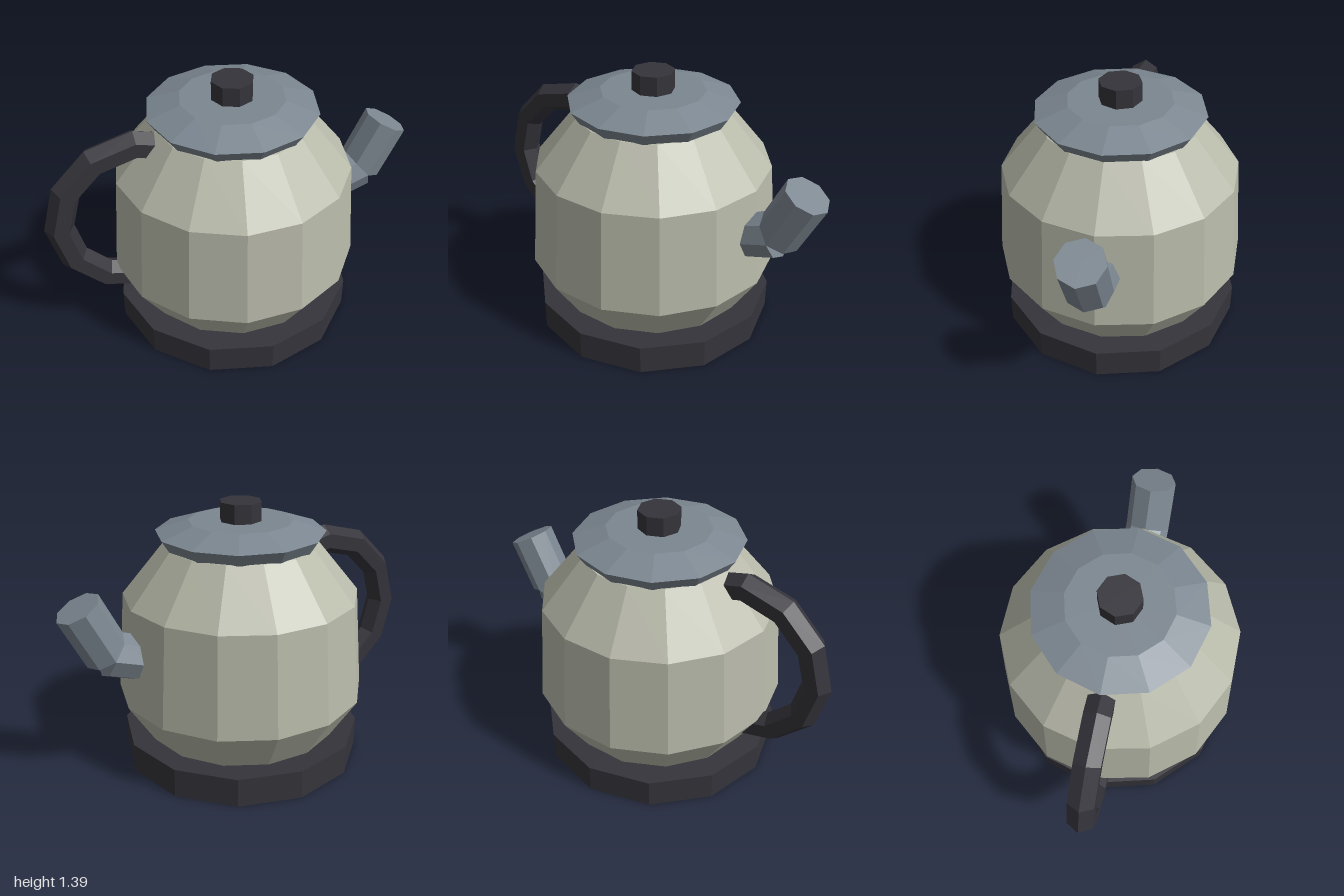
import * as THREE from 'three';

const enamel = new THREE.MeshStandardMaterial({ color: 0xb8baaa });
enamel.name = 'cream enamel';
const metal = new THREE.MeshStandardMaterial({ color: 0x7c8791 });
metal.name = 'blue grey metal';
const plastic = new THREE.MeshStandardMaterial({ color: 0x35343b });
plastic.name = 'dark plastic';

const AXIS_X = 0.006; // the handle and spout reach differ slightly

// Faceted mesh: unshared vertices give each face its own normal
function facetedMesh(name, geometry, material) {
  const flat = geometry.toNonIndexed();
  flat.computeVertexNormals();
  const mesh = new THREE.Mesh(flat, material);
  mesh.name = name;
  return mesh;
}

// Closed turned part from [radius, height] pairs, bottom to top
function turned(name, profile, sides, material) {
  const points = profile.map(([r, y]) => new THREE.Vector2(r, y));
  points.unshift(new THREE.Vector2(0, profile[0][1]));
  points.push(new THREE.Vector2(0, profile[profile.length - 1][1]));
  const mesh = facetedMesh(name, new THREE.LatheGeometry(points, sides, Math.PI / 2), material);
  mesh.position.x = AXIS_X;
  return mesh;
}

// Eight-sided pipe between two points in the x-y plane
function pipe(name, [x0, y0], [x1, y1], radius, material) {
  const length = Math.hypot(x1 - x0, y1 - y0);
  const mesh = facetedMesh(name, new THREE.CylinderGeometry(radius, radius, length, 8), material);
  mesh.position.set((x0 + x1) / 2, (y0 + y1) / 2, 0);
  mesh.rotation.z = Math.atan2(y1 - y0, x1 - x0) - Math.PI / 2;
  return mesh;
}

export function createModel() {
  const kettle = new THREE.Group();
  kettle.name = 'kettle';

  // Stand, body, lid and knob
  kettle.add(
    turned('base', [[0.642, 0], [0.642, 0.155]], 12, plastic),
    turned('body', [[0.515, 0.15], [0.66, 0.378], [0.619, 0.91], [0.4, 1.18]], 14, enamel),
    turned('lid', [[0.398, 1.175], [0.44, 1.24], [0.27, 1.295]], 12, metal),
    turned('knob', [[0.11, 1.29], [0.11, 1.395]], 8, plastic)
  );

  // Spout with a bend
  const bend = [0.758, 0.71];
  const spout = new THREE.Group();
  spout.name = 'spout';
  spout.add(
    pipe('spoutNeck', [0.52, 0.631], bend, 0.12, metal),
    pipe('spoutTip', bend, [0.892, 0.975], 0.12, metal)
  );
  kettle.add(spout);

  // Curved handle, its ends buried in the body
  const arc = new THREE.TorusGeometry(0.415, 0.077, 6, 8, Math.PI * 4 / 3);
  arc.rotateZ(Math.PI / 3);
  const handle = facetedMesh('handle', arc, plastic);
  handle.position.set(-0.508, 0.709, 0);
  kettle.add(handle);

  return kettle;
}
